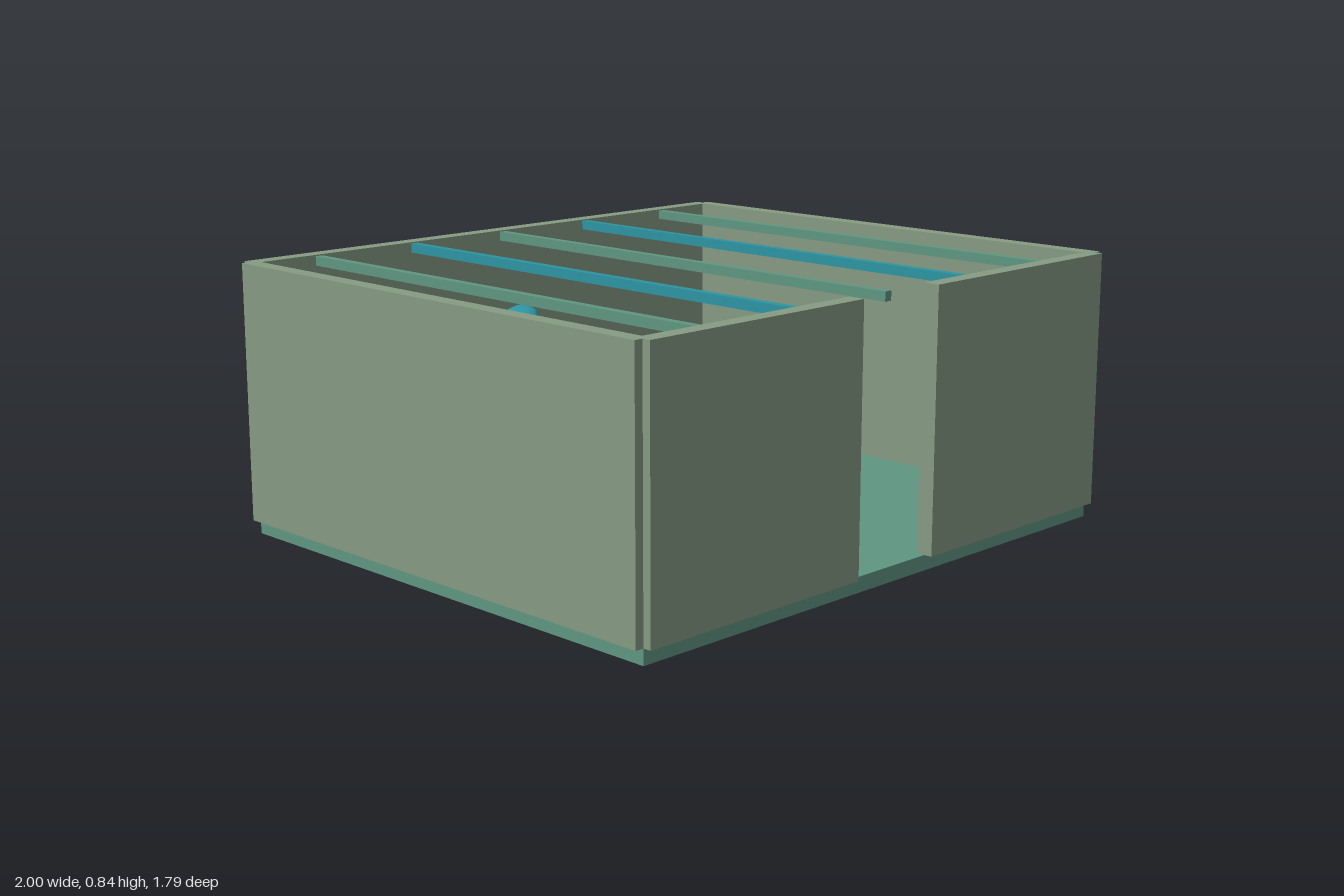
import * as THREE from 'three';

const material = (color) => {
  const m = new THREE.MeshStandardMaterial();
  m.color.set(color);
  return m;
};

export function createModel() {
  const model = new THREE.Group();
  const wallMat = material(0x869b83);
  const floorMat = material(0x609682);
  const accentMat = material(0x2c95a2);

  // Box given by its low and high corners
  const block = (name, mat, [x0, y0, z0], [x1, y1, z1]) => {
    const mesh = new THREE.Mesh(new THREE.BoxGeometry(x1 - x0, y1 - y0, z1 - z0), mat);
    mesh.position.set((x0 + x1) / 2, (y0 + y1) / 2, (z0 + z1) / 2);
    mesh.name = name;
    model.add(mesh);
  };

  const base = 0.047, top = 0.843;

  // Floor slab, slightly inset under the walls
  block('floor', floorMat, [-0.973, 0, -0.815], [0.973, base, 0.867]);

  // Walls, with a doorway in the middle of the front
  block('backWall', wallMat, [-0.973, base, -0.841], [0.973, top, -0.79]);
  block('leftWall', wallMat, [0.948, base, -0.815], [1, top, 0.867]);
  block('rightWall', wallMat, [-1, base, -0.815], [-0.948, top, 0.867]);
  block('frontWallLeft', wallMat, [0.163, base, 0.84], [0.973, top, 0.893]);
  block('frontWallRight', wallMat, [-0.973, base, 0.84], [-0.163, top, 0.893]);

  // Roof beams running front to back, alternating in colour
  for (let i = -2; i <= 2; i++) {
    const x = i * 0.369;
    block('roofBeam', i % 2 ? accentMat : floorMat,
      [x - 0.013, 0.81, -0.792], [x + 0.013, 0.839, 0.844]);
  }

  // Tilted flattened ornament set through the back wall
  const ornament = new THREE.Mesh(new THREE.SphereGeometry(1, 12, 8), accentMat);
  ornament.name = 'wallOrnament';
  ornament.scale.set(0.118, 0.044, 0.114);
  ornament.rotation.z = THREE.MathUtils.degToRad(26);
  ornament.position.set(0, 0.522, -0.779);
  model.add(ornament);

  return model;
}
